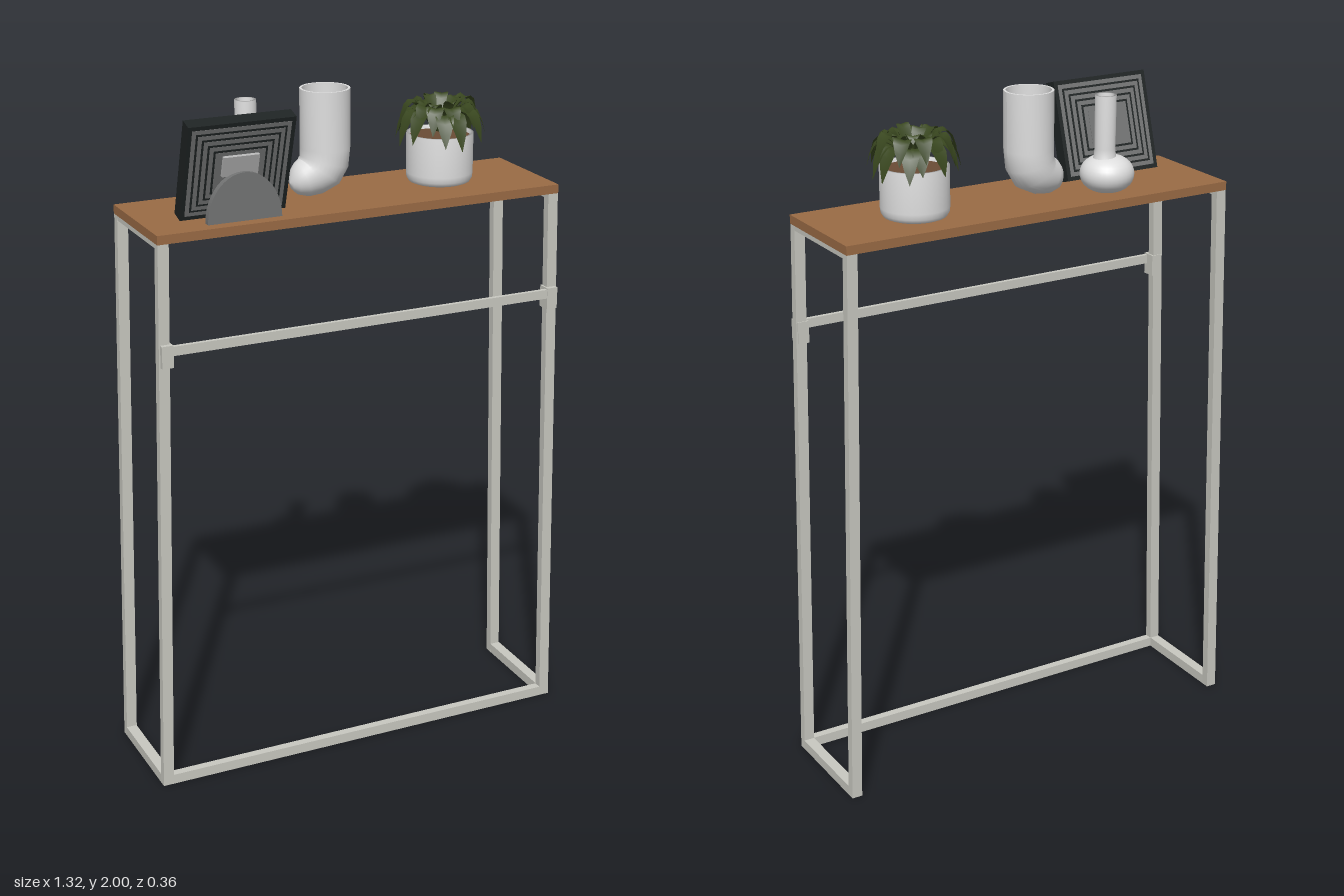
import * as THREE from 'three';

const mat = (name, color, side = THREE.FrontSide) => {
  const m = new THREE.MeshStandardMaterial({ color, side });
  m.name = name;
  return m;
};

export function createModel() {
  const metal = mat('pale metal', 0xc8c8c0);
  const wood = mat('wood', 0x9a6b45);
  const ceramic = mat('white ceramic', 0xdedede, THREE.DoubleSide);
  const black = mat('black frame', 0x1e2323);
  const grey = mat('grey panel', 0x737474);
  const silver = mat('light bracket', 0xb4b4b4);
  const leafMat = mat('leaf green', 0x39471f, THREE.DoubleSide);
  const soilMat = mat('soil', 0x6a4c36);

  const model = new THREE.Group();
  model.name = 'consoleTable';
  const add = (parent, name, geo, material, x = 0, y = 0, z = 0) => {
    const m = new THREE.Mesh(geo, material);
    m.name = name;
    m.position.set(x, y, z);
    parent.add(m);
    return m;
  };
  // box given by its limits
  const block = (name, material, x0, x1, y0, y1, z0, z1, parent = model) =>
    add(parent, name, new THREE.BoxGeometry(x1 - x0, y1 - y0, z1 - z0), material,
      (x0 + x1) / 2, (y0 + y1) / 2, (z0 + z1) / 2);

  // table top and cross rails
  block('tableTop', wood, -0.622, 0.622, 1.664, 1.69, -0.18, 0.168);
  block('floorRail', metal, -0.628, 0.628, 0, 0.03, 0.143, 0.168);
  block('hangingRail', metal, -0.62, 0.62, 1.349, 1.376, 0.168, 0.181);

  // leaning side frames
  for (const s of [-1, 1]) {
    for (const [name, z] of [['frontLeg', 0.1555], ['backLeg', -0.1675]]) {
      const g = new THREE.BoxGeometry(0.032, 1.664, 0.025);
      const p = g.attributes.position;
      for (let i = 0; i < p.count; i++)
        p.setX(i, p.getX(i) + s * (p.getY(i) < 0 ? 0.643 : 0.605));
      g.computeVertexNormals();
      add(model, name, g, metal, 0, 0.832, z);
    }
    const side = (name, c, y0, y1) =>
      block(name, metal, c * s - 0.016, c * s + 0.016, y0, y1, -0.155, 0.143);
    side('sideFloorRail', 0.643, 0, 0.03);
    side('sideTopRail', 0.605, 1.65, 1.664);
    block('railBracket', metal, s * 0.607 - 0.017, s * 0.607 + 0.017, 1.315, 1.38, 0.14, 0.182);
  }

  // picture frame, leaning over its stand
  const frame = new THREE.Group();
  frame.name = 'pictureFrame';
  frame.position.set(-0.357, 1.69, 0.06);
  frame.rotation.x = 0.297;
  model.add(frame);
  block('frameBody', black, -0.1575, 0.1575, 0, 0.29, -0.0425, -0.001, frame);
  for (let i = 0; i < 9; i++) {
    const inset = 0.012 + i * 0.009 + (i % 2) * 0.003;
    const lift = 0.0008 * (i + 1);
    const g = new THREE.BoxGeometry(0.315 - 2 * inset, 0.29 - 2 * inset, 0.002);
    const m = i % 2 ? black : grey;
    add(frame, 'frontStep', g, m, 0, 0.145, -0.002 + lift);
    add(frame, 'backStep', g, m, 0, 0.145, -0.0415 - lift);
  }
  add(frame, 'backPanel', new THREE.BoxGeometry(0.12, 0.1, 0.002), grey, 0, 0.145, -0.05);
  block('standBracket', silver, -0.053, 0.053, 0.135, 0.195, -0.002, 0.016, frame);

  // half-round stand
  const half = new THREE.Shape();
  half.absellipse(0, 0, 0.11, 0.136, 0, Math.PI, false, 0);
  half.closePath();
  add(model, 'frameStand',
    new THREE.ExtrudeGeometry(half, { depth: 0.02, bevelEnabled: false, curveSegments: 24 }),
    grey, -0.35, 1.69, 0.111);

  // bottle vase
  const lathe = (pts) => new THREE.LatheGeometry(pts.map(([x, y]) => new THREE.Vector2(x, y)), 32);
  const body = [];
  for (let i = 0; i <= 16; i++) {
    const a = -Math.PI / 2 + (i / 16) * Math.PI;
    body.push([0.079 * Math.pow(Math.max(0, Math.cos(a)), 0.8), 0.054 + 0.054 * Math.sin(a)]);
  }
  add(model, 'bottleBody', lathe(body), ceramic, -0.263, 1.69, -0.087);
  add(model, 'bottleNeck',
    lathe([[0.04, 0.09], [0.032, 0.105], [0.03, 0.13], [0.031, 0.283], [0.024, 0.283], [0.022, 0.14], [0, 0.14]]),
    ceramic, -0.254, 1.69, -0.088);

  // bent vase: rings [x, y, radius, heading angle]
  const ringTube = (rings, n = 32) => {
    const pos = [], idx = [];
    rings.forEach(([x, y, r, deg], k) => {
      const a = THREE.MathUtils.degToRad(deg);
      for (let j = 0; j <= n; j++) {
        const t = (j / n) * Math.PI * 2, u = r * Math.cos(t);
        pos.push(x + u * Math.cos(a), y - u * Math.sin(a), r * Math.sin(t));
        if (k && j < n) {
          const q = k * (n + 1) + j, o = q - n - 1;
          idx.push(o, o + 1, q, o + 1, q + 1, q);
        }
      }
    });
    const g = new THREE.BufferGeometry();
    g.setAttribute('position', new THREE.Float32BufferAttribute(pos, 3));
    g.setIndex(idx);
    g.computeVertexNormals();
    return g;
  };
  add(model, 'bentVase', ringTube([
    [-0.04, 2, 0.072, 0], [-0.04, 1.83, 0.072, 0], [-0.043, 1.79, 0.071, 15],
    [-0.06, 1.762, 0.069, 35], [-0.085, 1.75, 0.06, 60], [-0.112, 1.743, 0.052, 72],
    [-0.133, 1.739, 0.038, 80], [-0.145, 1.737, 0.02, 85], [-0.15, 1.736, 0, 88],
  ]), ceramic, 0, 0, -0.02);
  add(model, 'bentVaseInside', ringTube([
    [-0.04, 1.8, 0, 0], [-0.04, 1.8, 0.05, 0], [-0.04, 1.83, 0.064, 0], [-0.04, 2, 0.065, 0],
  ]), ceramic, 0, 0, -0.02);
  add(model, 'bentVaseRim', new THREE.RingGeometry(0.065, 0.072, 32).rotateX(-Math.PI / 2),
    ceramic, -0.04, 2, -0.02);

  // potted plant
  const plant = new THREE.Group();
  plant.name = 'pottedPlant';
  plant.position.set(0.329, 1.69, -0.022);
  model.add(plant);
  add(plant, 'pot', lathe([[0, 0], [0.08, 0], [0.09, 0.004], [0.096, 0.014], [0.098, 0.03],
    [0.098, 0.145], [0.09, 0.145], [0.089, 0.12]]), ceramic);
  add(plant, 'soil', new THREE.CylinderGeometry(0.089, 0.089, 0.01, 24), soilMat, 0, 0.13, 0);

  // drooping leaf: folded blade along an arched curve
  const leaf = (reach, rise, drop, width) => {
    const curve = new THREE.QuadraticBezierCurve3(
      new THREE.Vector3(0.018, 0.15, 0), new THREE.Vector3(reach * 0.75, 0.15 + rise, 0),
      new THREE.Vector3(reach, drop, 0));
    const pos = [], idx = [], n = 7;
    for (let i = 0; i <= n; i++) {
      const t = i / n, p = curve.getPoint(t);
      const w = width * (0.12 + 0.88 * Math.sin(Math.PI * Math.pow(t, 1.35))) * (i === n ? 0 : 1);
      pos.push(p.x, p.y + w * 0.25, -w, p.x, p.y, 0, p.x, p.y + w * 0.25, w);
      if (i) for (const j of [0, 1]) {
        const o = (i - 1) * 3 + j;
        idx.push(o, o + 1, o + 3, o + 1, o + 4, o + 3);
      }
    }
    const g = new THREE.BufferGeometry();
    g.setAttribute('position', new THREE.Float32BufferAttribute(pos, 3));
    g.setIndex(idx);
    g.computeVertexNormals();
    return g;
  };
  let seed = 7;
  const rnd = () => (seed = (seed * 16807) % 2147483647) / 2147483647;
  // tiers: [count, reach, rise, tip height, half width]
  for (const [count, reach, rise, drop, width] of [
    [13, 0.132, 0.13, 0.125, 0.027], [11, 0.118, 0.16, 0.165, 0.026], [8, 0.08, 0.13, 0.225, 0.021],
  ]) for (let i = 0; i < count; i++) {
    const k = 0.9 + rnd() * 0.18;
    const m = add(plant, 'leaf', leaf(reach * k, rise * k, drop + (rnd() - 0.5) * 0.03, width), leafMat);
    m.rotation.y = ((i + rnd() * 0.6) / count) * Math.PI * 2 + reach * 9;
  }
  return model;
}
